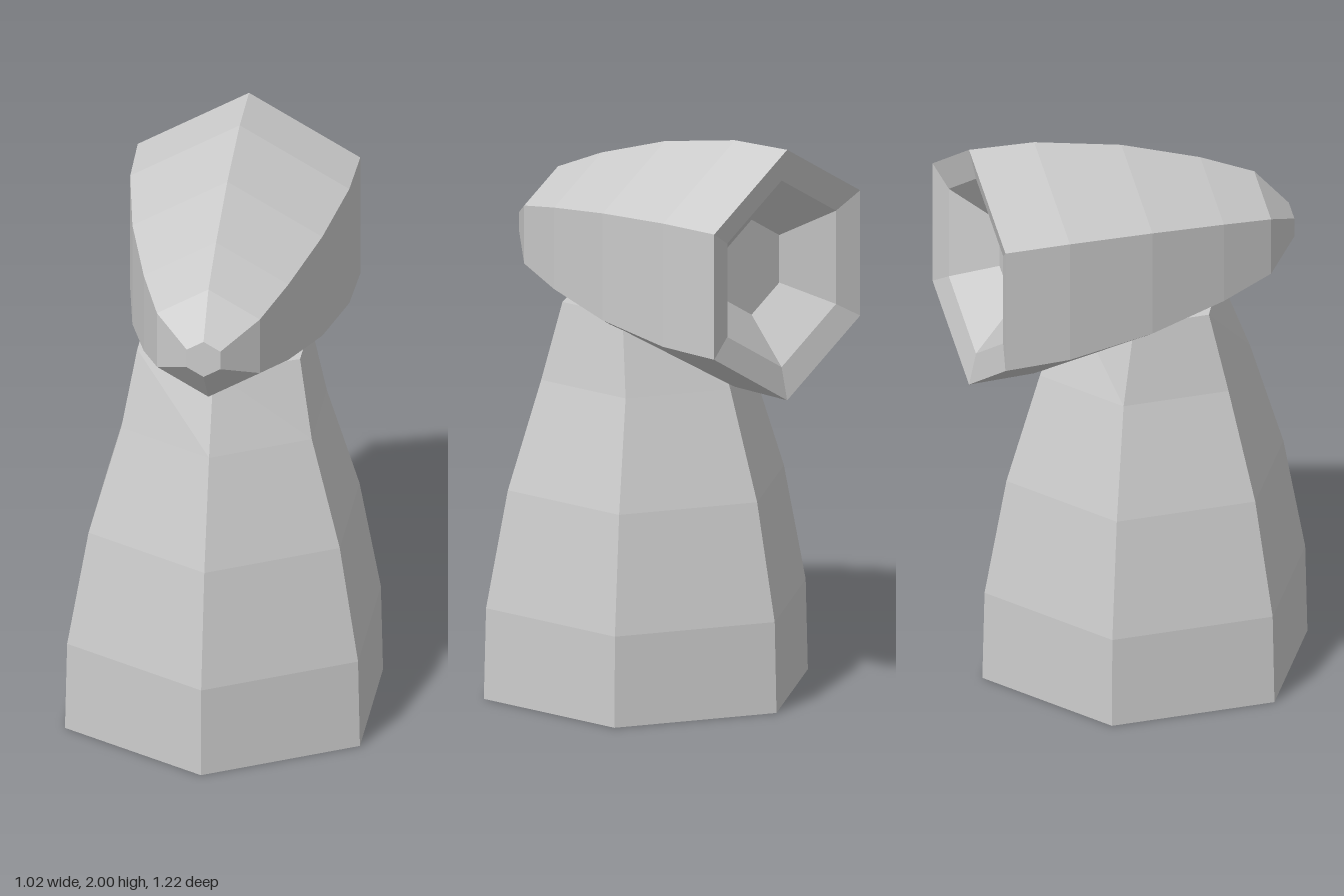
import * as THREE from 'three';

// Six-sided faceted solid turned from [radius, height] pairs, bottom to top
function hexTurned(name, profile) {
  const points = profile.map(([r, y]) => new THREE.Vector2(r, y));
  const geometry = new THREE.LatheGeometry(points, 6);
  const material = new THREE.MeshStandardMaterial({ color: 0xcccccc, flatShading: true });
  const mesh = new THREE.Mesh(geometry, material);
  mesh.name = name;
  return mesh;
}

export function createModel() {
  const model = new THREE.Group();
  model.name = 'model';

  // Tapering pedestal with closed ends
  const top = 1.385;
  const pedestal = hexTurned('pedestal', [
    [0, 0], [0.587, 0], [0.579, 0.32], [0.5, 0.73], [0.379, 1.11], [0.27, top], [0, top],
  ]);
  // The top ring is a little wider sideways
  const pos = pedestal.geometry.attributes.position;
  for (let i = 0; i < pos.count; i++) {
    if (pos.getY(i) > top - 0.01) pos.setX(i, pos.getX(i) * 1.2);
  }
  pedestal.geometry.computeVertexNormals();
  pedestal.position.z = 0.025;
  model.add(pedestal);

  // Bullet-shaped head lying along z, with a shallow dish sunk in its back
  const head = hexTurned('head', [
    [0, -0.45], [0.168, -0.45], [0.33, -0.585], [0.443, -0.61],
    [0.436, -0.375], [0.378, -0.06], [0.288, 0.225], [0.205, 0.42], [0.067, 0.545], [0, 0.545],
  ]);
  head.rotation.x = Math.PI / 2;
  head.position.y = 1.557;
  model.add(head);

  return model;
}
